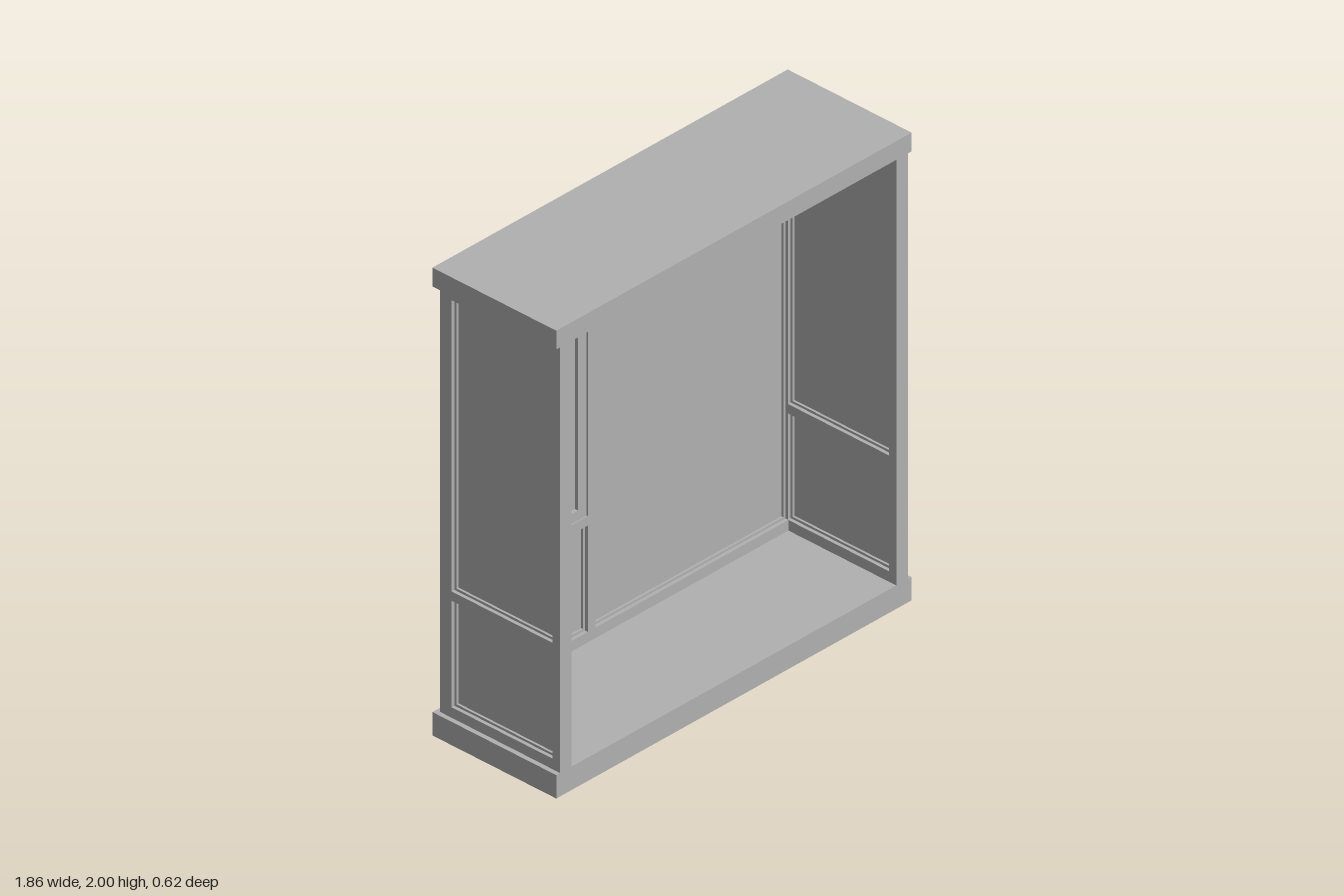
import * as THREE from 'three';

export function createModel() {
  const model = new THREE.Group();
  const grey = new THREE.MeshStandardMaterial({ color: 0xb0b0b0 });
  grey.name = 'grey';

  // Box given by its limits on each axis
  function box(parent, name, x0, x1, y0, y1, z0, z1) {
    const mesh = new THREE.Mesh(new THREE.BoxGeometry(x1 - x0, y1 - y0, z1 - z0), grey);
    mesh.position.set((x0 + x1) / 2, (y0 + y1) / 2, (z0 + z1) / 2);
    mesh.name = name;
    parent.add(mesh);
    return mesh;
  }

  // Rectangular frame of border b, in the xy plane, centred on z = 0
  function frame(parent, name, x0, x1, y0, y1, b, depth) {
    const rect = (P, i) => {
      const p = new P();
      p.moveTo(x0 + i, y0 + i);
      p.lineTo(x1 - i, y0 + i);
      p.lineTo(x1 - i, y1 - i);
      p.lineTo(x0 + i, y1 - i);
      p.closePath();
      return p;
    };
    const shape = rect(THREE.Shape, 0);
    shape.holes.push(rect(THREE.Path, b));
    const geo = new THREE.ExtrudeGeometry(shape, { depth, bevelEnabled: false });
    geo.translate(0, 0, -depth / 2);
    const mesh = new THREE.Mesh(geo, grey);
    mesh.name = name;
    parent.add(mesh);
  }

  // Thin pane held by a narrow bead
  function pane(parent, name, x0, x1, y0, y1) {
    frame(parent, name + 'Bead', x0, x1, y0, y1, 0.01, 0.03);
    box(parent, name, x0, x1, y0, y1, -0.005, 0.005);
  }

  const floor = 0.1, ceiling = 1.92, low = 0.145, high = 1.885, rail0 = 0.6, rail1 = 0.64;
  const t = 0.03; // half the wall thickness

  // Base and roof slabs
  box(model, 'base', -0.93, 0.93, 0, floor, -0.31, 0.31);
  box(model, 'roof', -0.93, 0.93, ceiling, 2, -0.31, 0.31);

  // Side walls, drawn flat and then turned to face sideways
  for (const side of [1, -1]) {
    const wall = new THREE.Group();
    wall.name = side > 0 ? 'leftWall' : 'rightWall';
    box(wall, 'frontPost', -0.31, -0.273, floor, ceiling, -t, t);
    box(wall, 'backPost', 0.233, 0.29, floor, ceiling, -t, t);
    box(wall, 'bottomRail', -0.273, 0.233, floor, low, -t, t);
    box(wall, 'middleRail', -0.273, 0.233, rail0, rail1, -t, t);
    box(wall, 'topRail', -0.273, 0.233, high, ceiling, -t, t);
    pane(wall, 'lowerPane', -0.273, 0.233, low, rail0);
    pane(wall, 'upperPane', -0.273, 0.233, rail1, high);
    wall.rotation.y = Math.PI / 2;
    wall.position.x = side * 0.88;
    model.add(wall);
  }

  // Back wall: rails, mullion, one large pane, one small pane and a window
  const back = new THREE.Group();
  back.name = 'backWall';
  box(back, 'bottomRail', -0.85, 0.85, floor, low, -t, t);
  box(back, 'topRail', -0.85, 0.85, high, ceiling, -t, t);
  box(back, 'mullion', -0.2, -0.16, low, high, -t, t);
  box(back, 'middleRail', -0.85, -0.2, rail0, rail1, -t, t);
  pane(back, 'largePane', -0.16, 0.85, low, high);
  pane(back, 'lowerPane', -0.85, -0.2, low, rail0);
  frame(back, 'windowSash', -0.847, -0.203, rail1, high, 0.042, 0.05);
  box(back, 'windowPane', -0.81, -0.24, 0.68, 1.845, -0.008, 0.008);
  back.position.z = -0.26;
  model.add(back);

  return model;
}
